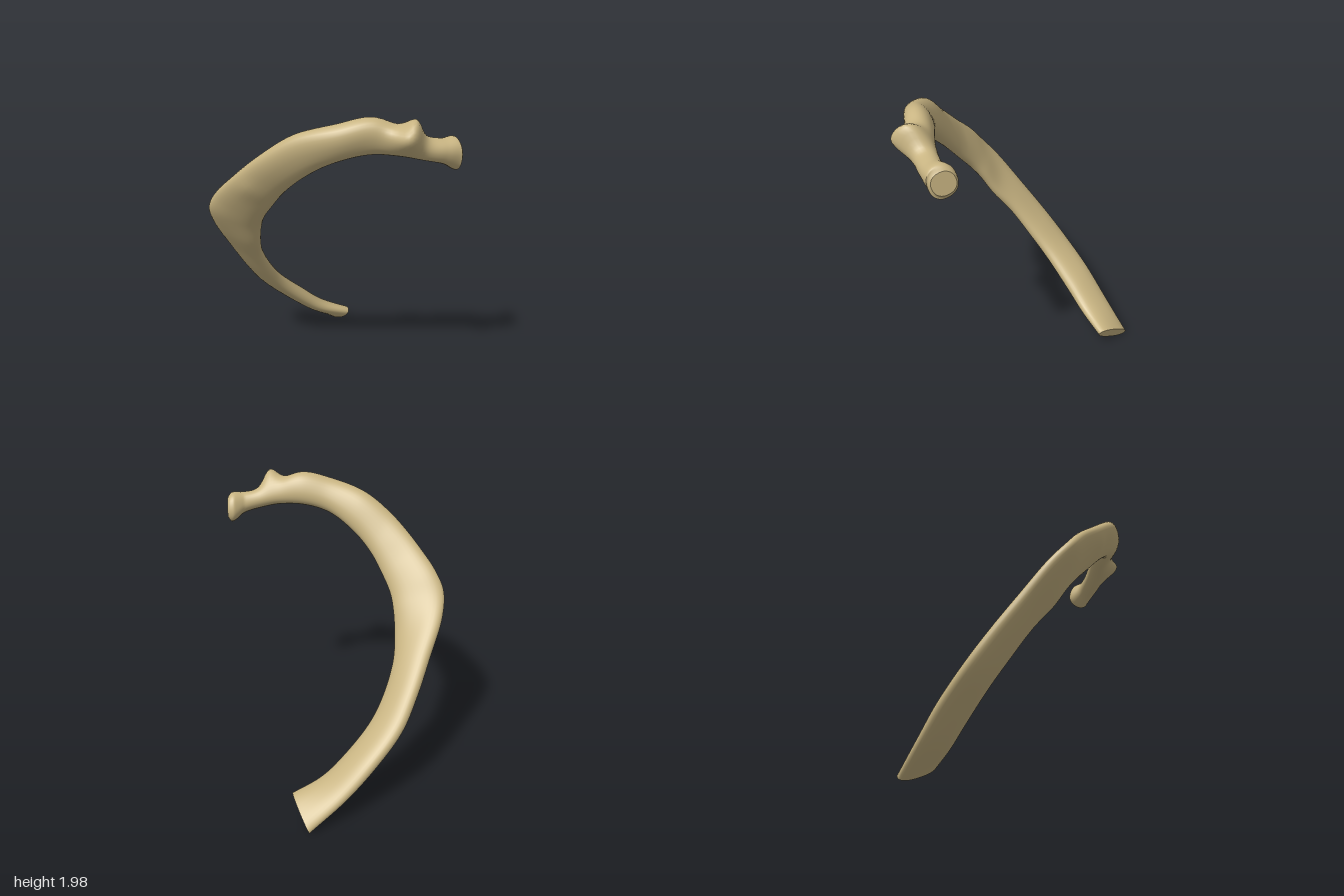
import * as THREE from 'three';

const bone = new THREE.MeshStandardMaterial({ color: 0xc8b482 });
bone.name = 'bone';

// Stations from the cut lower end to the head: outer edge, inner edge, half thickness
const stations = [
  [[0.23, 0.03, -0.815], [0.33, 0.16, -0.565], 0.05],
  [[0.0, 0.21, -0.735], [0.13, 0.235, -0.505], 0.055],
  [[-0.2, 0.4, -0.645], [0.0, 0.33, -0.455], 0.06],
  [[-0.39, 0.6, -0.52], [-0.2, 0.53, -0.345], 0.06],
  [[-0.5, 0.79, -0.39], [-0.3, 0.68, -0.25], 0.06],
  [[-0.6, 0.99, -0.24], [-0.38, 0.88, -0.12], 0.06],
  [[-0.7, 1.2, -0.08], [-0.4, 1.03, 0.0], 0.06],
  [[-0.725, 1.33, 0.04], [-0.395, 1.18, 0.09], 0.06],
  [[-0.68, 1.44, 0.13], [-0.38, 1.27, 0.16], 0.06],
  [[-0.58, 1.57, 0.26], [-0.33, 1.38, 0.25], 0.06],
  [[-0.42, 1.74, 0.42], [-0.26, 1.5, 0.34], 0.065],
  [[-0.23, 1.88, 0.53], [-0.15, 1.62, 0.44], 0.075],
  [[0.0, 1.95, 0.635], [0.02, 1.735, 0.535], 0.08],
  [[0.2, 1.99, 0.66], [0.2, 1.78, 0.58], 0.08],
  [[0.35, 1.935, 0.67], [0.36, 1.775, 0.61], 0.075],
  [[0.5, 1.87, 0.67], [0.5, 1.75, 0.62], 0.07],
  [[0.62, 1.855, 0.66], [0.61, 1.72, 0.61], 0.07],
  [[0.695, 1.86, 0.635], [0.7, 1.67, 0.57], 0.09],
  [[0.722, 1.83, 0.625], [0.727, 1.7, 0.575], 0.07],
];

// Rounded lumps pushed out of the shaft: centre, push, radius
const lumps = [
  [[0.38, 1.87, 0.72], [0.0, 0.02, 0.095], 0.085],
  [[0.43, 1.92, 0.67], [0.01, 0.085, 0.02], 0.065],
  [[-0.47, 1.5, 0.31], [-0.01, 0.01, 0.015], 0.08],
].map(([c, p, r]) => [new THREE.Vector3(...c), new THREE.Vector3(...p), r]);

const RINGS = 140;
const SIDES = 32;

function buildRings() {
  const outer = new THREE.CatmullRomCurve3(stations.map((s) => new THREE.Vector3(...s[0])));
  const inner = new THREE.CatmullRomCurve3(stations.map((s) => new THREE.Vector3(...s[1])));
  const middle = (u) => outer.getPoint(u).add(inner.getPoint(u)).multiplyScalar(0.5);
  const rings = [];
  for (let i = 0; i <= RINGS; i++) {
    const u = i / RINGS;
    const k = Math.min(Math.floor(u * (stations.length - 1)), stations.length - 2);
    const f = u * (stations.length - 1) - k;
    const thick = THREE.MathUtils.lerp(stations[k][2], stations[k + 1][2], f);
    const mid = middle(u);
    const half = outer.getPoint(u).sub(inner.getPoint(u)).multiplyScalar(0.5);
    const along = middle(Math.min(1, u + 0.02)).sub(middle(Math.max(0, u - 0.02)));
    const normal = along.cross(half).normalize();
    const ring = [];
    for (let j = 0; j < SIDES; j++) {
      const a = (j / SIDES) * Math.PI * 2;
      const c = Math.cos(a), s = Math.sin(a);
      const p = mid.clone()
        .addScaledVector(half, Math.sign(c) * Math.abs(c) ** 0.9)
        .addScaledVector(normal, thick * Math.sign(s) * Math.abs(s) ** 0.9);
      const base = p.clone();
      for (const [centre, push, r] of lumps) {
        p.addScaledVector(push, Math.exp(-base.distanceToSquared(centre) / (r * r)));
      }
      ring.push(p);
    }
    rings.push(ring);
  }
  return rings;
}

function meshFrom(points, index, name) {
  const g = new THREE.BufferGeometry().setFromPoints(points);
  g.setIndex(index);
  g.computeVertexNormals();
  const mesh = new THREE.Mesh(g, bone);
  mesh.name = name;
  return mesh;
}

// Smooth skin joining successive rings
function shaft(rings) {
  const index = [];
  for (let i = 0; i < RINGS; i++) {
    for (let j = 0; j < SIDES; j++) {
      const a = i * SIDES + j, b = i * SIDES + ((j + 1) % SIDES);
      index.push(a, b, a + SIDES, b, b + SIDES, a + SIDES);
    }
  }
  return meshFrom(rings.flat(), index, 'ribShaft');
}

// Flat face closing one end
function endFace(ring, flip, name) {
  const centre = new THREE.Vector3();
  ring.forEach((p) => centre.addScaledVector(p, 1 / SIDES));
  const index = [];
  for (let j = 0; j < SIDES; j++) {
    const n = (j + 1) % SIDES;
    index.push(SIDES, flip ? n : j, flip ? j : n);
  }
  return meshFrom([...ring, centre], index, name);
}

export function createModel() {
  const group = new THREE.Group();
  group.name = 'ribBone';
  const rings = buildRings();
  group.add(shaft(rings));
  group.add(endFace(rings[0], true, 'cutEnd'));
  group.add(endFace(rings[RINGS], false, 'headFace'));
  return group;
}
